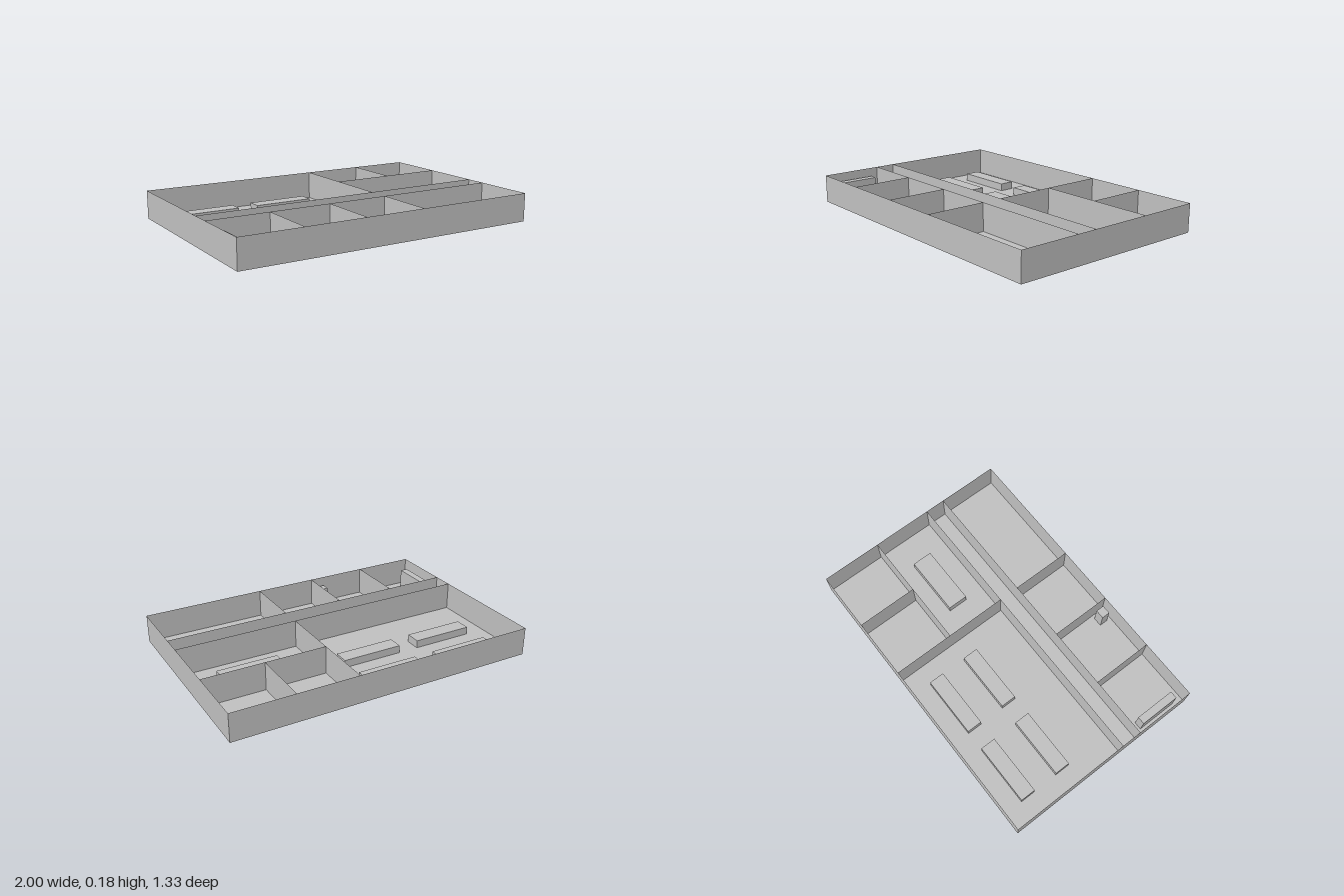
import * as THREE from 'three';

const HEIGHT = 0.183;

export function createModel() {
  const model = new THREE.Group();
  model.name = 'officeFloorPlan';
  const grey = new THREE.MeshStandardMaterial({ color: 0xc0c0c0, side: THREE.DoubleSide });
  grey.name = 'plain grey';

  const add = (name, geometry) => {
    const mesh = new THREE.Mesh(geometry, grey);
    mesh.name = name;
    model.add(mesh);
  };

  // Paper-thin upright wall between two plan points, running along x or z
  const wall = (name, x1, z1, x2, z2) => {
    const g = new THREE.PlaneGeometry(Math.hypot(x2 - x1, z2 - z1), HEIGHT);
    g.rotateY(Math.atan2(z1 - z2, x2 - x1));
    g.translate((x1 + x2) / 2, HEIGHT / 2, (z1 + z2) / 2);
    add(name, g);
  };

  // Furniture block standing on the floor, placed by its lowest x and z
  const block = (name, x, z, w, d, h) => {
    const g = new THREE.BoxGeometry(w, h, d);
    g.translate(x + w / 2, h / 2, z + d / 2);
    add(name, g);
  };

  const X = 1, Z = 0.667;

  // Floor
  add('floor', new THREE.PlaneGeometry(2 * X, 2 * Z).rotateX(-Math.PI / 2));

  // Outer walls
  wall('frontWall', -X, Z, X, Z);
  wall('backWall', X, -Z, -X, -Z);
  wall('leftWall', X, Z, X, -Z);
  wall('rightWall', -X, -Z, -X, Z);

  // Corridor walls
  wall('corridorBackWall', -X, 0.133, X, 0.133);
  wall('corridorFrontWall', -X, 0.267, X, 0.267);

  // Front room dividers
  for (const x of [-0.6, -0.2, 0.2]) wall('frontDivider', x, 0.267, x, Z);

  // Back room dividers
  wall('openOfficeDivider', 0.2, -Z, 0.2, 0.133);
  wall('meetingRoomWall', 0.2, -0.267, X, -0.267);
  wall('smallRoomDivider', 0.6, -Z, 0.6, -0.267);

  // Rows of desks in the open office
  for (const x of [-0.867, -0.333])
    for (const z of [-0.533, -0.267]) block('desk', x, z, 0.4, 0.1, 0.05);

  // Other furniture
  block('meetingTable', 0.4, -0.133, 0.4, 0.133, 0.05);
  block('shelf', -0.967, 0.333, 0.05, 0.267, 0.133);
  block('cabinet', -0.283, 0.583, 0.06, 0.055, 0.133);

  return model;
}
